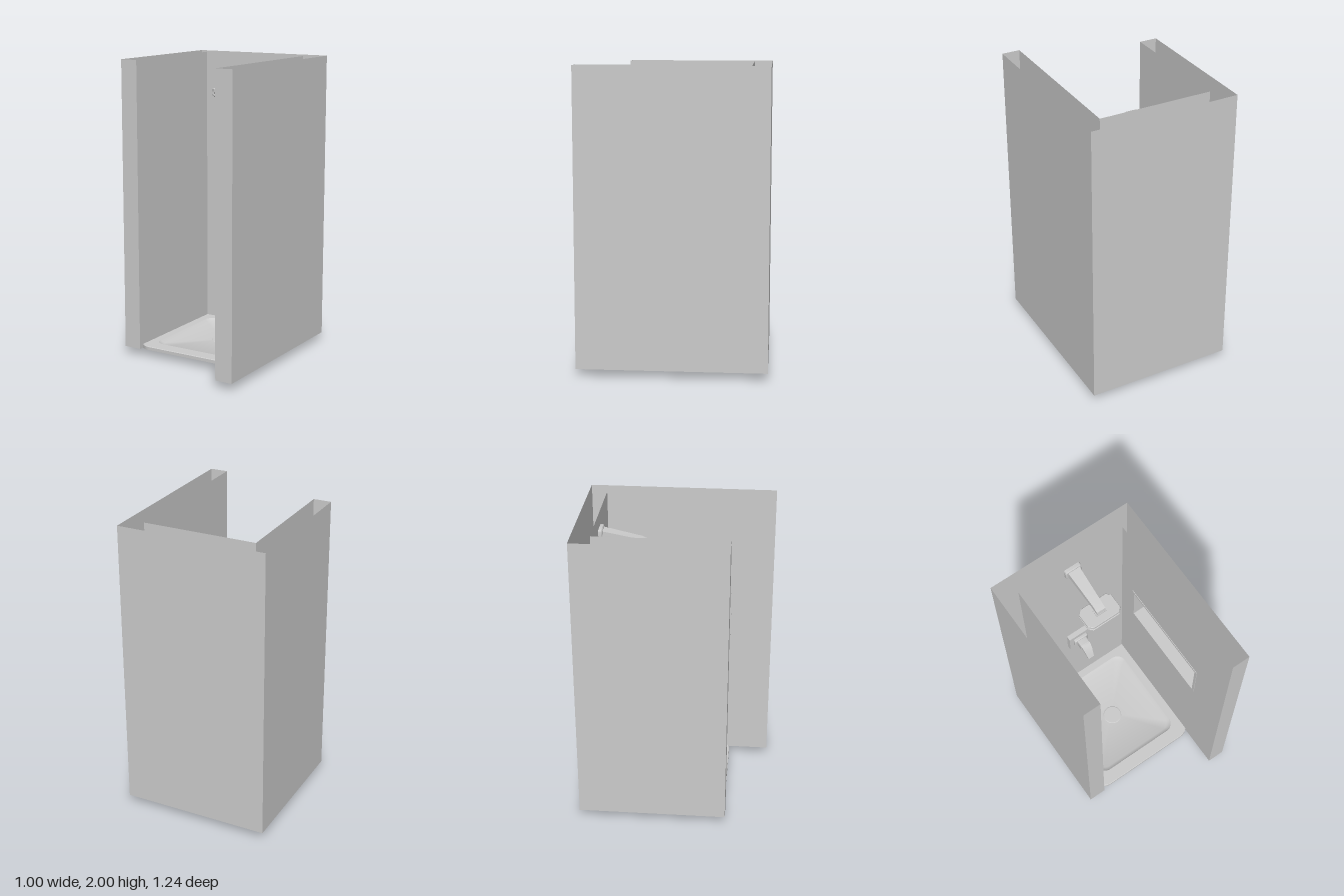
import * as THREE from 'three';
import { toCreasedNormals } from 'three/addons/utils/BufferGeometryUtils.js';

const grey = new THREE.MeshStandardMaterial({ color: 0xcccccc });
const greyDouble = new THREE.MeshStandardMaterial({ color: 0xcccccc, side: THREE.DoubleSide });
const greyInside = new THREE.MeshStandardMaterial({ color: 0xcccccc, side: THREE.BackSide });

function add(parent, name, geometry, material = grey, x = 0, y = 0, z = 0) {
  const mesh = new THREE.Mesh(geometry, material);
  mesh.name = name;
  mesh.position.set(x, y, z);
  parent.add(mesh);
  return mesh;
}

function rectPath(x0, y0, x1, y1, PathClass = THREE.Path) {
  return new PathClass([[x0, y0], [x1, y0], [x1, y1], [x0, y1]].map((p) => new THREE.Vector2(...p)));
}

// Points of a rectangle with rounded (or, with one step, chamfered) corners
function roundedLoop(hx, hz, r, steps) {
  const points = [];
  [[1, 1], [-1, 1], [-1, -1], [1, -1]].forEach(([sx, sz], corner) => {
    for (let i = 0; i <= steps; i++) {
      const a = (corner + i / steps) * Math.PI / 2;
      points.push([sx * (hx - r) + r * Math.cos(a), sz * (hz - r) + r * Math.sin(a)]);
    }
  });
  return points;
}

// Skin through loops of 3D points, with optional caps on both ends
function loft(loops, capStart, capEnd) {
  const pos = [];
  const n = loops[0].length;
  const tri = (a, b, c) => pos.push(...a, ...b, ...c);
  for (let k = 0; k < loops.length - 1; k++) {
    for (let i = 0; i < n; i++) {
      const j = (i + 1) % n, A = loops[k], B = loops[k + 1];
      tri(A[i], B[i], B[j]);
      tri(A[i], B[j], A[j]);
    }
  }
  const cap = (L, flip) => {
    const c = [0, 1, 2].map((d) => L.reduce((s, p) => s + p[d], 0) / n);
    for (let i = 0; i < n; i++) {
      const j = (i + 1) % n;
      flip ? tri(c, L[i], L[j]) : tri(c, L[j], L[i]);
    }
  };
  if (capStart) cap(loops[0], true);
  if (capEnd) cap(loops[loops.length - 1], false);
  const g = new THREE.BufferGeometry();
  g.setAttribute('position', new THREE.Float32BufferAttribute(pos, 3));
  g.computeVertexNormals();
  return toCreasedNormals(g, 0.5);
}

// Stack of rounded rectangles: rows of [halfX, halfZ, radius, y]
function stack(rows, steps, capStart, capEnd) {
  return loft(rows.map(([hx, hz, r, y]) =>
    roundedLoop(hx, hz, r, steps).map(([x, z]) => [x, y, z])), capStart, capEnd);
}

// Plate against the back wall, growing from its base towards +z
function wallPlate(hx, hy, r, depth, bevel, steps = 4) {
  const g = stack([
    [hx, hy, r, 0],
    [hx, hy, r, depth - bevel],
    [hx - bevel, hy - bevel, r * 0.8, depth],
  ], steps, true, true);
  return g.rotateX(Math.PI / 2);
}

// Bar with rectangular sections: rows of [halfWidth, y, z, halfThickness, tilt]
function bar(rows) {
  return loft(rows.map(([w, y, z, t, tilt]) => {
    const dy = t * Math.cos(tilt), dz = t * Math.sin(tilt);
    return [[w, y + dy, z + dz], [w, y - dy, z - dz], [-w, y - dy, z - dz], [-w, y + dy, z + dz]].reverse();
  }).reverse(), true, true);
}

export function createModel() {
  const model = new THREE.Group();
  model.name = 'showerStall';

  // Hollow U-shaped wall, open at top and bottom; one arm is longer
  const walls = new THREE.Group();
  walls.name = 'walls';
  model.add(walls);
  const niche = { z0: -0.355, z1: 0.32, y0: 0.95, y1: 1.27 };
  const base = 0.05, height = 1.95;
  const plan = [[0.5, 0.62], [0.5, -0.62], [-0.5, -0.62], [-0.5, 0.36],
    [-0.38, 0.36], [-0.38, -0.5], [0.38, -0.5], [0.38, 0.62]];
  plan.forEach(([x, z], i) => {
    const [x2, z2] = plan[(i + 1) % plan.length];
    const shape = rectPath(0, 0, Math.hypot(x2 - x, z2 - z), height, THREE.Shape);
    if (i === 6) shape.holes.push(rectPath(niche.z0 - z, niche.y0 - base, niche.z1 - z, niche.y1 - base));
    const panel = add(walls, 'wallPanel', new THREE.ShapeGeometry(shape), greyDouble, x, base, z);
    panel.rotation.y = Math.atan2(z - z2, x2 - x);
  });

  // Recessed shelf in the long side wall, with a thin trim
  const nicheGroup = new THREE.Group();
  nicheGroup.name = 'wallNiche';
  model.add(nicheGroup);
  add(nicheGroup, 'nicheRecess',
    new THREE.BoxGeometry(0.112, niche.y1 - niche.y0, niche.z1 - niche.z0), greyInside,
    0.434, (niche.y0 + niche.y1) / 2, (niche.z0 + niche.z1) / 2);
  const trim = rectPath(niche.z0 - 0.02, niche.y0 - 0.02, niche.z1 + 0.02, niche.y1 + 0.02, THREE.Shape);
  trim.holes.push(rectPath(niche.z0, niche.y0, niche.z1, niche.y1));
  const trimMesh = add(nicheGroup, 'nicheTrim',
    new THREE.ExtrudeGeometry(trim, { depth: 0.006, bevelEnabled: false }), grey, 0.382);
  trimMesh.rotation.y = -Math.PI / 2;

  // Thin tray with a shallow basin, and the drain below it
  add(model, 'showerTray', stack([
    [0.405, 0.445, 0.09, 0.05],
    [0.405, 0.445, 0.09, 0.071],
    [0.401, 0.441, 0.087, 0.075],
    [0.325, 0.354, 0.07, 0.075],
    [0.32, 0.349, 0.066, 0.07],
    [0.297, 0.326, 0.05, 0.058],
  ], 8, false, true), greyDouble, 0, 0, -0.095);
  add(model, 'drainCover', new THREE.CylinderGeometry(0.062, 0.068, 0.004, 32), grey, 0, 0.059, -0.08);
  add(model, 'drainPipe', new THREE.CylinderGeometry(0.072, 0.072, 0.057, 32, 1, true), greyDouble, 0, 0.0285, -0.08);

  // Shower head on its tapering arm
  const shower = new THREE.Group();
  shower.name = 'shower';
  model.add(shower);
  add(shower, 'armPlate', wallPlate(0.057, 0.043, 0.012, 0.037, 0.006), grey, 0, 1.862, -0.512);
  add(shower, 'showerArm', bar([
    [0.044, 1.862, -0.49, 0.032, 0],
    [0.04, 1.86, -0.455, 0.027, 0.1],
    [0.031, 1.822, -0.235, 0.02, 0.25],
    [0.031, 1.807, -0.2, 0.021, 0.8],
    [0.031, 1.786, -0.198, 0.02, 1.57],
  ]));
  add(shower, 'headJoint', new THREE.BoxGeometry(0.076, 0.012, 0.045), grey, 0, 1.79, -0.2);
  add(shower, 'showerHead', stack([
    [0.108, 0.062, 0.02, 1.73],
    [0.12, 0.074, 0.025, 1.74],
    [0.12, 0.074, 0.025, 1.748],
    [0.112, 0.066, 0.022, 1.75],
    [0.112, 0.066, 0.022, 1.764],
    [0.12, 0.074, 0.025, 1.766],
    [0.12, 0.074, 0.025, 1.784],
    [0.117, 0.071, 0.024, 1.788],
  ], 1, true, true), grey, 0, 0, -0.202);

  // Tap: wall plate with rounded lower corners, base and lever
  const tap = new THREE.Group();
  tap.name = 'tap';
  model.add(tap);
  const plate = new THREE.Shape();
  plate.moveTo(-0.085, 0.88).lineTo(-0.085, 0.71);
  plate.absarc(-0.035, 0.71, 0.05, Math.PI, Math.PI * 1.5, false);
  plate.absarc(0.035, 0.71, 0.05, Math.PI * 1.5, Math.PI * 2, false);
  plate.lineTo(0.085, 0.88);
  add(tap, 'tapPlate',
    new THREE.ExtrudeGeometry(plate, { depth: 0.07, bevelEnabled: false }), grey, 0, 0, -0.535);
  add(tap, 'tapBase', wallPlate(0.054, 0.044, 0.012, 0.025, 0.006), grey, 0, 0.8, -0.47);
  add(tap, 'tapKnob', wallPlate(0.036, 0.034, 0.008, 0.06, 0.008), grey, 0, 0.798, -0.455);
  add(tap, 'tapLever', bar([
    [0.034, 0.808, -0.41, 0.022, 0.6],
    [0.031, 0.788, -0.378, 0.014, 0.9],
    [0.022, 0.71, -0.34, 0.009, 1.1],
  ]));

  return model;
}
